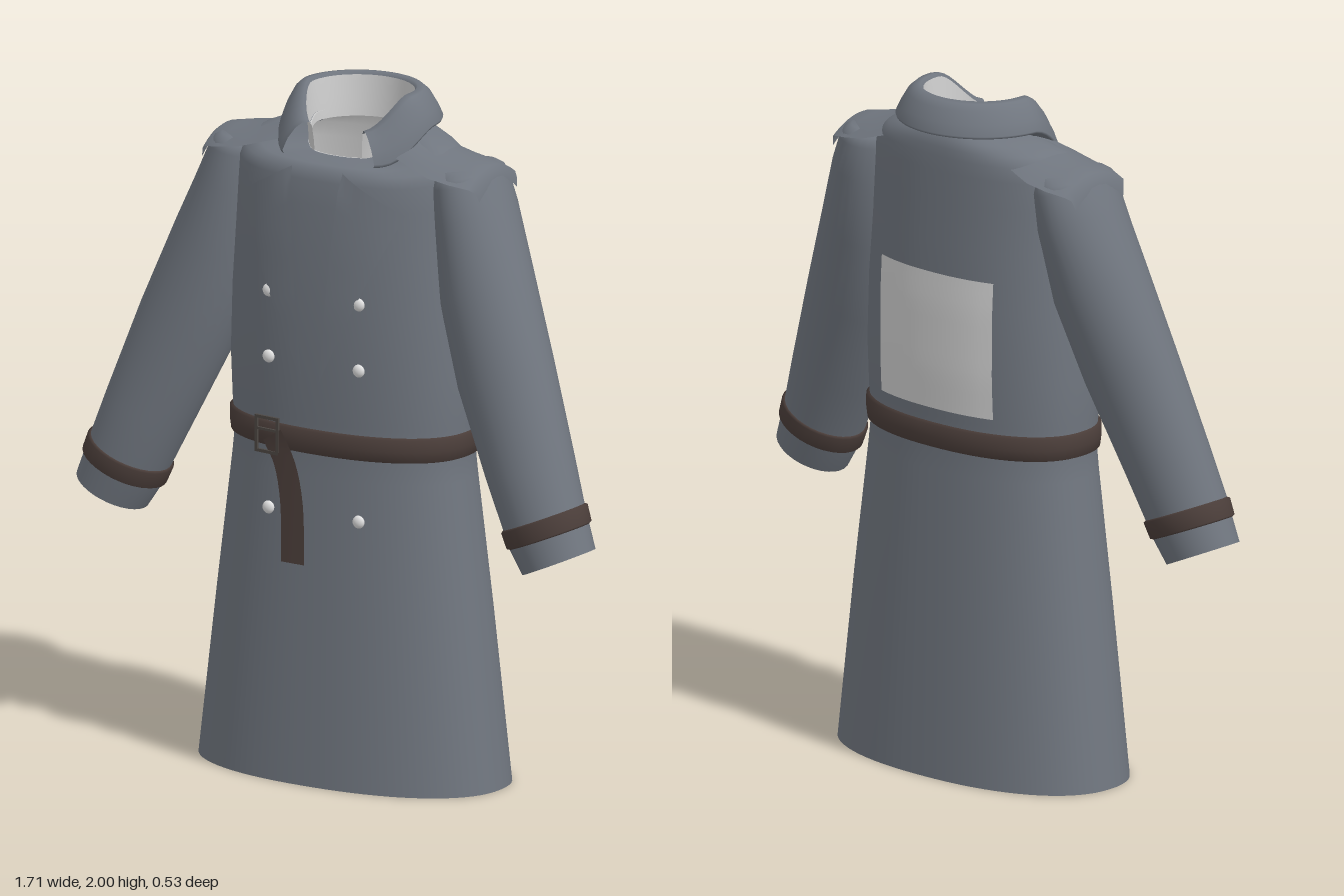
import * as THREE from 'three';

const mat = (name, color, side = THREE.FrontSide) =>
  Object.assign(new THREE.MeshStandardMaterial({ color, side }), { name });

// Joins rows of points into one smooth skin; closed rows wrap around.
function skin(rows, closed = true, flip = false) {
  const n = rows[0].length, pos = rows.flat(2), idx = [];
  for (let i = 0; i < rows.length - 1; i++) {
    for (let j = 0; j < (closed ? n : n - 1); j++) {
      const k = (j + 1) % n;
      const a = i * n + j, b = i * n + k, c = a + n, d = b + n;
      if (flip) idx.push(a, b, c, b, d, c);
      else idx.push(a, c, b, b, c, d);
    }
  }
  const g = new THREE.BufferGeometry();
  g.setAttribute('position', new THREE.Float32BufferAttribute(pos, 3));
  g.setIndex(idx);
  g.computeVertexNormals();
  return g;
}

const { lerp, smoothstep, degToRad } = THREE.MathUtils;
const mix = (a, b, t) => a.map((v, i) => lerp(v, b[i], t));

// Body sections: y at front, half width, front z, back z, rise at sides and back
const BODY = [
  [0, 0.49, 0.27, -0.265, 0], [0.5, 0.43, 0.247, -0.243, 0],
  [0.9, 0.38, 0.224, -0.218, 0], [0.98, 0.372, 0.22, -0.213, 0],
  [1.06, 0.38, 0.222, -0.215, 0], [1.2, 0.384, 0.23, -0.222, 0],
  [1.4, 0.377, 0.232, -0.222, 0], [1.58, 0.365, 0.226, -0.213, 0],
  [1.7, 0.36, 0.217, -0.207, 0.005], [1.77, 0.357, 0.21, -0.203, 0.018],
  [1.8, 0.343, 0.199, -0.2, 0.03], [1.812, 0.3, 0.18, -0.196, 0.045],
  [1.818, 0.24, 0.15, -0.19, 0.062], [1.822, 0.15, 0.11, -0.175, 0.075],
];
const POWER = 2.25;

function bodySection(y) {
  let i = 0;
  while (i < BODY.length - 2 && BODY[i + 1][0] < y) i++;
  return mix(BODY[i], BODY[i + 1], (y - BODY[i][0]) / (BODY[i + 1][0] - BODY[i][0]));
}

function bodyRing([y, hx, zf, zb, rise], grow = 0, n = 72) {
  return Array.from({ length: n }, (_, j) => {
    const t = (j / n) * Math.PI * 2, c = Math.cos(t), s = Math.sin(t);
    const e = 2 / POWER;
    return [
      (hx + grow) * Math.sign(c) * Math.abs(c) ** e,
      y + rise * (1 - smoothstep(s, 0, 0.85)),
      (zf + zb) / 2 + ((zf - zb) / 2 + grow) * Math.sign(s) * Math.abs(s) ** e,
    ];
  });
}

// Depth of the body surface at x, y on the front (side 1) or back (side -1)
function bodyZ(x, y, side) {
  const [, hx, zf, zb] = bodySection(y);
  const k = (1 - Math.min(1, Math.abs(x / hx)) ** POWER) ** (1 / POWER);
  return (zf + zb) / 2 + side * k * (zf - zb) / 2;
}

// Thin sheet laid over the body; at(u, v) gives x, y
function patch(at, offset, side = 1, n = 12) {
  const rows = [];
  for (let i = 0; i <= n; i++) {
    rows.push([]);
    for (let j = 0; j <= n; j++) {
      const [x, y] = at(j / n, i / n);
      rows[i].push([x, y, bodyZ(x, y, side) + side * offset]);
    }
  }
  return skin(rows, false, side > 0 === at(1, 0)[0] > at(0, 0)[0]);
}

// Sleeve sections from cuff to shoulder: outer x, y, inner x, y, centre z, depth radius
const SLEEVE = [
  [0.857, 0.78, 0.648, 0.687, 0.105, 0.103], [0.832, 0.85, 0.603, 0.755, 0.1, 0.11],
  [0.812, 0.905, 0.58, 0.808, 0.096, 0.115], [0.77, 1.03, 0.51, 0.95, 0.08, 0.12],
  [0.675, 1.3, 0.395, 1.19, 0.045, 0.128], [0.575, 1.55, 0.32, 1.42, 0.01, 0.142],
  [0.502, 1.72, 0.29, 1.64, -0.015, 0.147], [0.468, 1.795, 0.28, 1.76, -0.02, 0.142],
  [0.455, 1.815, 0.285, 1.79, -0.02, 0.132], [0.435, 1.823, 0.3, 1.815, -0.02, 0.11],
  [0.38, 1.83, 0.37, 1.83, -0.02, 0.005],
];

function sleeveRing([ox, oy, ix, iy, z, rz], s, grow = 0, n = 32) {
  const k = 1 + grow / Math.hypot((ox - ix) / 2, (oy - iy) / 2);
  return Array.from({ length: n }, (_, j) => {
    const t = (j / n) * Math.PI * 2, c = Math.cos(t) * k / 2;
    return [
      s * ((ox + ix) / 2 + (ox - ix) * c),
      (oy + iy) / 2 + (oy - iy) * c,
      z + (rz + grow) * Math.sin(t),
    ];
  });
}

// Shoulder yoke rows from neck to sleeve: x, ridge height, half depth
const YOKE = [
  [0.2, 1.885, 0.12], [0.26, 1.868, 0.135], [0.32, 1.85, 0.145],
  [0.39, 1.839, 0.142], [0.445, 1.829, 0.125], [0.46, 1.818, 0.11], [0.468, 1.79, 0.1],
];
const yokeRow = ([x, y, depth], s) => Array.from({ length: 17 }, (_, j) => {
  const v = j / 8 - 1;
  return [s * x, y - 0.045 * v * v, -0.02 + depth * v];
});

// Collar row swept around the neck; its height falls between the angles from and to
function collarRow(r, yBack, yFront, from = 85, to = 135) {
  const end = 148 - (r - 0.15) * 90;
  return Array.from({ length: 49 }, (_, j) => {
    const deg = lerp(-end, end, j / 48), a = degToRad(deg);
    const t = smoothstep(Math.abs(deg), from, to);
    return [r * Math.sin(a), lerp(yBack, yFront, t), -0.025 - r * 0.93 * Math.cos(a)];
  });
}

export function createModel() {
  const coat = mat('coat cloth', 0x70767f);
  const coatSheet = mat('coat cloth sheet', 0x70767f, THREE.DoubleSide);
  const lining = mat('pale lining', 0xd0d0d0, THREE.DoubleSide);
  const leather = mat('brown leather', 0x4b3e3a, THREE.DoubleSide);
  const metal = mat('buckle metal', 0x4c4743);
  const pale = mat('pale button', 0xe0e0e0);

  const model = new THREE.Group();
  const add = (name, geometry, material, parent = model) => {
    const m = new THREE.Mesh(geometry, material);
    m.name = name;
    parent.add(m);
    return m;
  };

  // Body and its lining
  add('coatBody', skin(BODY.map(s => bodyRing(s))), coat);
  add('bodyLining', skin(BODY.map(s => bodyRing(s, -0.004)), true, true), lining);

  // Folded collar with an inner stand
  add('collar', skin([
    collarRow(0.17, 1.89, 1.815), collarRow(0.237, 1.908, 1.815),
    collarRow(0.24, 1.915, 1.825), collarRow(0.226, 1.945, 1.86, 88, 138),
    collarRow(0.205, 1.98, 1.89, 90, 142), collarRow(0.185, 1.997, 1.905, 92, 146),
    collarRow(0.165, 2, 1.905, 94, 150), collarRow(0.158, 1.99, 1.895, 94, 150),
  ], false), coatSheet);
  add('collarStand', skin([
    collarRow(0.15, 1.87, 1.815), collarRow(0.152, 1.92, 1.85), collarRow(0.158, 1.99, 1.895, 94, 150),
  ], false), lining);

  for (const s of [1, -1]) {
    const side = s > 0 ? 'left' : 'right';

    // Sleeve, lining and cuff strap
    const sleeve = new THREE.Group();
    sleeve.name = side + 'Sleeve';
    model.add(sleeve);
    add('sleeveCloth', skin(SLEEVE.map(r => sleeveRing(r, s)), true, s < 0), coat, sleeve);
    add('sleeveLining',
      skin(SLEEVE.slice(0, 6).map(r => sleeveRing(r, s, -0.004)), true, s > 0), lining, sleeve);
    const strap = [[0, 0], [0.08, 0.008], [0.92, 0.008], [1, 0]];
    add('cuffStrap', skin(strap.map(([t, g]) =>
      sleeveRing(mix(SLEEVE[1], SLEEVE[2], t), s, g)), true, s < 0), leather, sleeve);

    // Yoke bridging neck and sleeve
    add(side + 'ShoulderYoke', skin(YOKE.map(r => yokeRow(r, s)), false, s > 0), coatSheet);

    // Pointed lapel
    const inner = [0.085, 1.803], outer = [0.275, 1.697], tip = [0.029, 1.187];
    add(side + 'Lapel', patch((u, v) => {
      const [x, y] = mix(tip, mix(inner, outer, u), v);
      return [s * x, y];
    }, 0.013), coatSheet);

    // Buttons
    for (const y of [1.43, 1.235, 0.79]) {
      const b = add(side + 'Button', new THREE.SphereGeometry(0.019, 16, 10), pale);
      b.position.set(s * 0.152, y, bodyZ(0.152, y, 1) + 0.006);
      b.scale.z = 0.6;
    }
  }

  // Belt, hanging end and buckle
  const beltRows = [[0.965, -0.003], [0.97, 0.01], [1.0, 0.013], [1.035, 0.01], [1.042, -0.003]];
  add('belt', skin(beltRows.map(([y, g]) => bodyRing(bodySection(y), g))), leather);
  const tail = new THREE.CatmullRomCurve3(
    [[-0.14, 1.005], [-0.092, 0.93], [-0.063, 0.82], [-0.053, 0.645]]
      .map(([x, y]) => new THREE.Vector3(x, y, 0)));
  add('beltEnd', patch((u, v) => {
    const p = tail.getPoint(v), d = tail.getTangent(v), w = (u - 0.5) * 0.08;
    return [p.x - d.y * w, p.y + d.x * w * (1 - v)];
  }, 0.016), leather);
  const buckle = new THREE.Group();
  buckle.name = 'buckle';
  buckle.position.set(-0.157, 1.003, bodyZ(-0.157, 1, 1) + 0.018);
  buckle.rotation.y = -0.1;
  model.add(buckle);
  for (const s of [1, -1]) {
    add('buckleUpright', new THREE.BoxGeometry(0.009, 0.108, 0.008), metal, buckle).position.x = s * 0.038;
    add('buckleBar', new THREE.BoxGeometry(0.085, 0.009, 0.008), metal, buckle).position.y = s * 0.05;
  }
  add('bucklePin', new THREE.BoxGeometry(0.07, 0.007, 0.007), metal, buckle).position.y = 0.015;

  // Pale panel on the back
  add('backPanel', patch((u, v) => [lerp(-0.215, 0.215, u), lerp(1.085, 1.49, v)], 0.006, -1), lining);

  return model;
}
